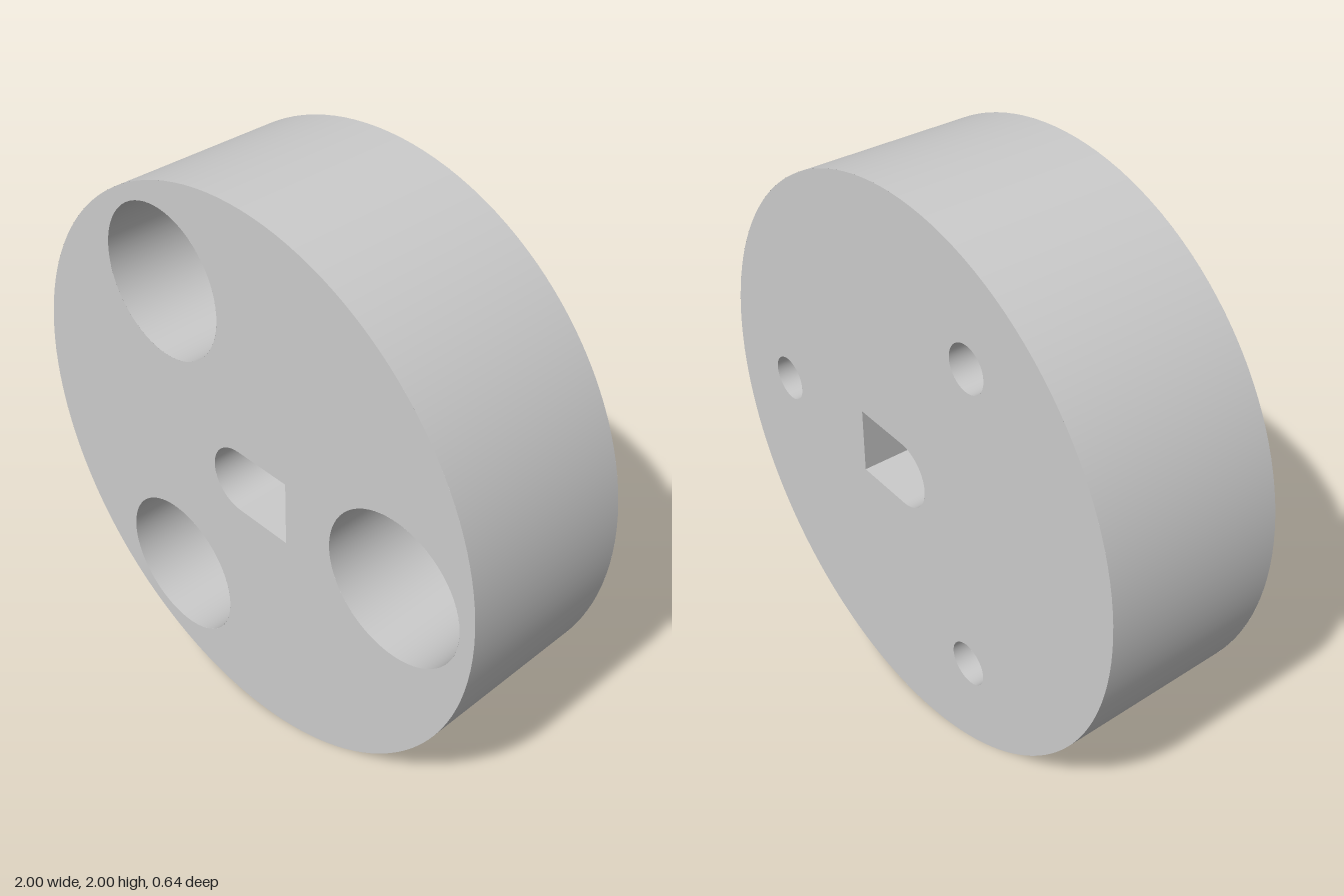
import * as THREE from 'three';

const R = 1, HALF = 0.32;           // disc radius and half thickness
const FLOOR_Z = -0.16;              // bottom of the counterbores
const BIG = 0.265, SMALL = 0.08;    // counterbore and bolt hole radii
const SLOT = 0.12, SLOT_END = 0.22; // D-shaped slot: radius and flat end
const SCREW = 0.054, PATCH = 0.1;   // radial screw hole and its rim patch
const SEG = 128;

export function createModel() {
  const group = new THREE.Group();
  const material = new THREE.MeshStandardMaterial({ color: 0xcccccc, side: THREE.DoubleSide });
  const add = (name, geometry, x = 0, y = 0, z = 0) => {
    const mesh = new THREE.Mesh(geometry, material);
    mesh.name = name;
    mesh.position.set(x, y, z);
    group.add(mesh);
    return mesh;
  };
  const circle = (x, y, r) => new THREE.Path().absarc(x, y, r, 0, Math.PI * 2, true);
  const disc = (r) => new THREE.Shape().absarc(0, 0, r, 0, Math.PI * 2, false);
  // open wall running along z
  const wall = (r, z0, z1, start = 0, length = Math.PI * 2, seg = 64) =>
    new THREE.CylinderGeometry(r, r, z1 - z0, seg, 1, true, start, length)
      .rotateX(Math.PI / 2).translate(0, 0, (z0 + z1) / 2);

  const bolts = [0, 1, 2].map((i) => {
    const a = (i * Math.PI * 2) / 3;
    return [0.68 * Math.cos(a), 0.68 * Math.sin(a)];
  });

  // front and back faces, pierced by the slot and the bolt holes
  const face = (holeRadius) => {
    const s = disc(R);
    const slot = new THREE.Path();
    slot.moveTo(SLOT_END, -SLOT);
    slot.lineTo(SLOT_END, SLOT);
    slot.lineTo(0, SLOT);
    slot.absarc(0, 0, SLOT, Math.PI / 2, Math.PI * 1.5, false);
    slot.closePath();
    s.holes.push(slot, ...bolts.map(([x, y]) => circle(x, y, holeRadius)));
    return new THREE.ShapeGeometry(s, SEG / 2);
  };
  add('frontFace', face(BIG), 0, 1, HALF);
  add('backFace', face(SMALL), 0, 1, -HALF);

  // rim, left open at the bottom for the patch with the screw hole
  const gap = Math.asin(PATCH);
  add('rim', wall(R, -HALF, HALF, gap, Math.PI * 2 - 2 * gap, SEG), 0, 1);

  const outline = [];
  for (let i = 0; i <= 8; i++) outline.push(new THREE.Vector2(-PATCH + (i * PATCH) / 4, -HALF));
  for (let i = 0; i <= 8; i++) outline.push(new THREE.Vector2(PATCH - (i * PATCH) / 4, HALF));
  const patchShape = new THREE.Shape(outline);
  patchShape.holes.push(circle(0, 0, SCREW));
  const patch = new THREE.ShapeGeometry(patchShape, 24);
  const p = patch.attributes.position, n = patch.attributes.normal;
  for (let i = 0; i < p.count; i++) {
    const x = p.getX(i), z = p.getY(i), y = -Math.sqrt(R * R - x * x);
    p.setXYZ(i, x, y, z);
    n.setXYZ(i, x, y, 0);
  }
  add('rimPatch', patch, 0, 1);

  // counterbored bolt holes
  const ledge = disc(BIG);
  ledge.holes.push(circle(0, 0, SMALL));
  for (const [x, y] of bolts) {
    add('counterboreWall', wall(BIG, FLOOR_Z, HALF), x, y + 1);
    add('counterboreFloor', new THREE.ShapeGeometry(ledge, 32), x, y + 1, FLOOR_Z);
    add('boltHole', wall(SMALL, -HALF, FLOOR_Z), x, y + 1);
  }

  // D-shaped central slot: round end, flat end, ceiling and pierced floor
  add('slotRoundEnd', wall(SLOT, -HALF, HALF, Math.PI, Math.PI, 32), 0, 1);
  add('slotFlatEnd', new THREE.PlaneGeometry(2 * HALF, 2 * SLOT).rotateY(-Math.PI / 2), SLOT_END, 1);
  add('slotCeiling', new THREE.PlaneGeometry(SLOT_END, 2 * HALF).rotateX(Math.PI / 2), SLOT_END / 2, 1 + SLOT);
  const floor = new THREE.Shape();
  floor.moveTo(0, -HALF);
  floor.lineTo(SLOT_END, -HALF);
  floor.lineTo(SLOT_END, HALF);
  floor.lineTo(0, HALF);
  floor.lineTo(0, SCREW);
  floor.absarc(0, 0, SCREW, Math.PI / 2, -Math.PI / 2, true);
  floor.closePath();
  add('slotFloor', new THREE.ShapeGeometry(floor, 16).rotateX(-Math.PI / 2), 0, 1 - SLOT);

  // radial screw hole from the rim up to the slot
  const top = 1 - SLOT;
  add('screwHole', new THREE.CylinderGeometry(SCREW, SCREW, top, 32, 1, true), 0, top / 2 + 0.001);

  return group;
}
